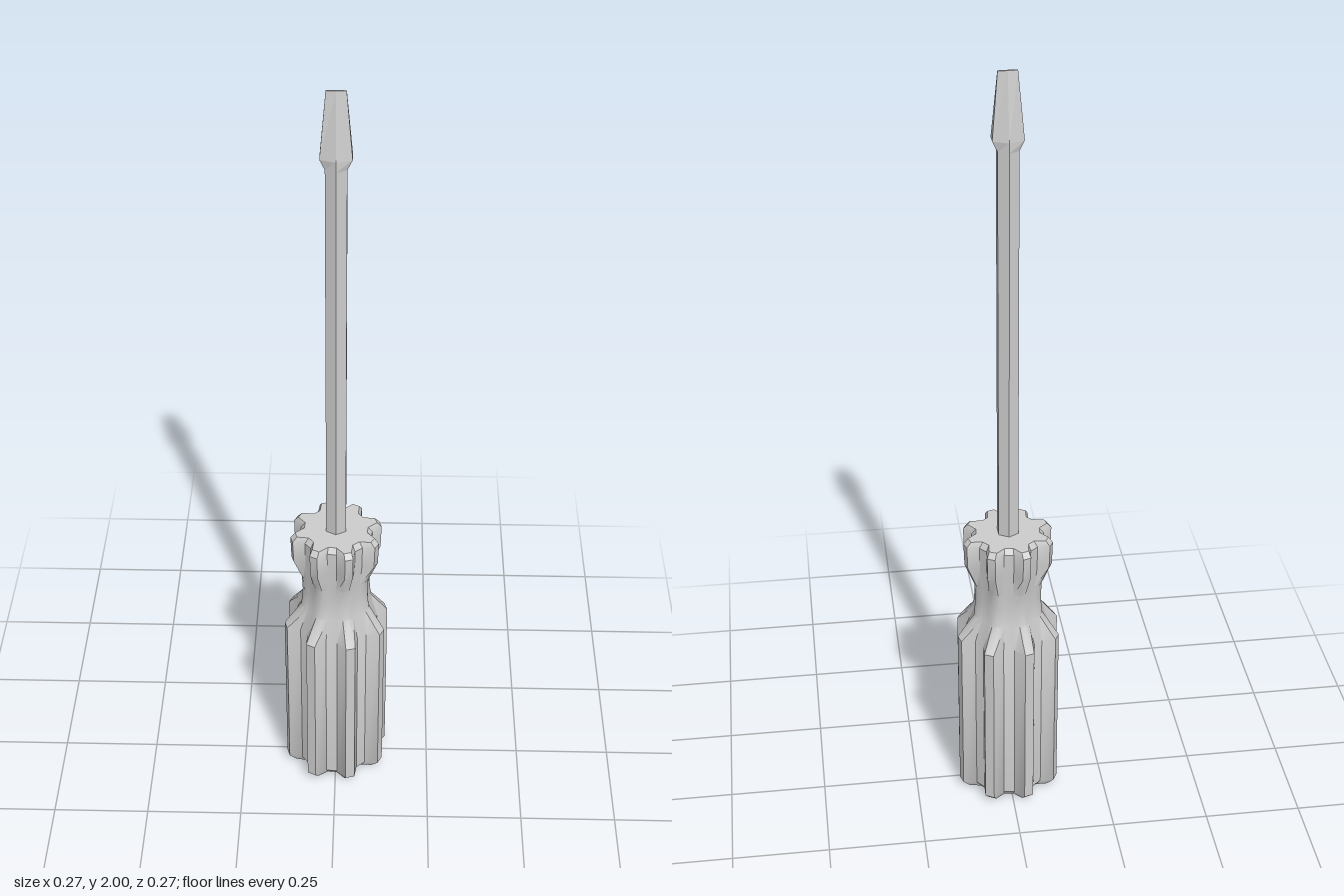
import * as THREE from 'three';
import { toCreasedNormals } from 'three/addons/utils/BufferGeometryUtils.js';

// Skin a stack of closed rings (anticlockwise seen from above) and cap both ends.
function loft(rings) {
  const n = rings[0].length;
  const pos = [];
  const tri = (...points) => points.forEach((p) => pos.push(...p));
  for (let r = 0; r < rings.length - 1; r++) {
    const lo = rings[r], hi = rings[r + 1];
    for (let i = 0; i < n; i++) {
      const j = (i + 1) % n;
      tri(lo[i], lo[j], hi[j]);
      tri(lo[i], hi[j], hi[i]);
    }
  }
  const first = rings[0], last = rings[rings.length - 1];
  const bottom = [0, first[0][1], 0], top = [0, last[0][1], 0];
  for (let i = 0; i < n; i++) {
    const j = (i + 1) % n;
    tri(bottom, first[j], first[i]);
    tri(top, last[i], last[j]);
  }
  const geometry = new THREE.BufferGeometry();
  geometry.setAttribute('position', new THREE.Float32BufferAttribute(pos, 3));
  geometry.computeVertexNormals();
  return geometry;
}

// Eight-tooth ring: ridge radius, groove radius.
function gripRing(y, ridge, groove) {
  const ring = [];
  for (let k = 0; k < 8; k++) {
    for (const [offset, r] of [[-5.2, ridge], [5.2, ridge], [15, groove], [30, groove]]) {
      const a = THREE.MathUtils.degToRad(17.2 + k * 45 + offset);
      ring.push([r * Math.cos(a), y, -r * Math.sin(a)]);
    }
  }
  return ring;
}

// Six-sided ring: half width in x, z of the side corners, z of the middle corners.
function hexRing(y, w, side, mid) {
  return [[w, y, side], [w, y, -side], [0, y, -mid], [-w, y, -side], [-w, y, side], [0, y, mid]];
}

export function createModel() {
  const group = new THREE.Group();
  const add = (name, geometry, flatShading) => {
    const material = new THREE.MeshStandardMaterial({ color: 0xcccccc, flatShading });
    const mesh = new THREE.Mesh(geometry, material);
    mesh.name = name;
    group.add(mesh);
  };

  // Fluted handle: chamfered butt, grip, narrow neck, flared collar
  const profile = [
    [0, 0.117, 0.093], [0.02, 0.137, 0.108], [0.49, 0.137, 0.108], [0.55, 0.092, 0.086],
    [0.6, 0.088, 0.084], [0.645, 0.09, 0.084], [0.71, 0.116, 0.091],
    [0.773, 0.118, 0.092], [0.787, 0.106, 0.081],
  ];
  const handle = loft(profile.map(([y, ridge, groove]) => gripRing(y, ridge, groove)));
  add('handle', toCreasedNormals(handle, THREE.MathUtils.degToRad(35)), false);

  // Hexagonal shaft, starting inside the handle
  add('shaft', loft([hexRing(0.77, 0.025, 0.015, 0.029), hexRing(1.815, 0.025, 0.015, 0.029)]), true);

  // Flat blade: widens from the shaft, then tapers to a thin edge
  add('blade', loft([
    hexRing(1.815, 0.025, 0.015, 0.029),
    hexRing(1.84, 0.037, 0.015, 0.029),
    hexRing(2, 0.023, 0.002, 0.003),
  ]), true);

  return group;
}
